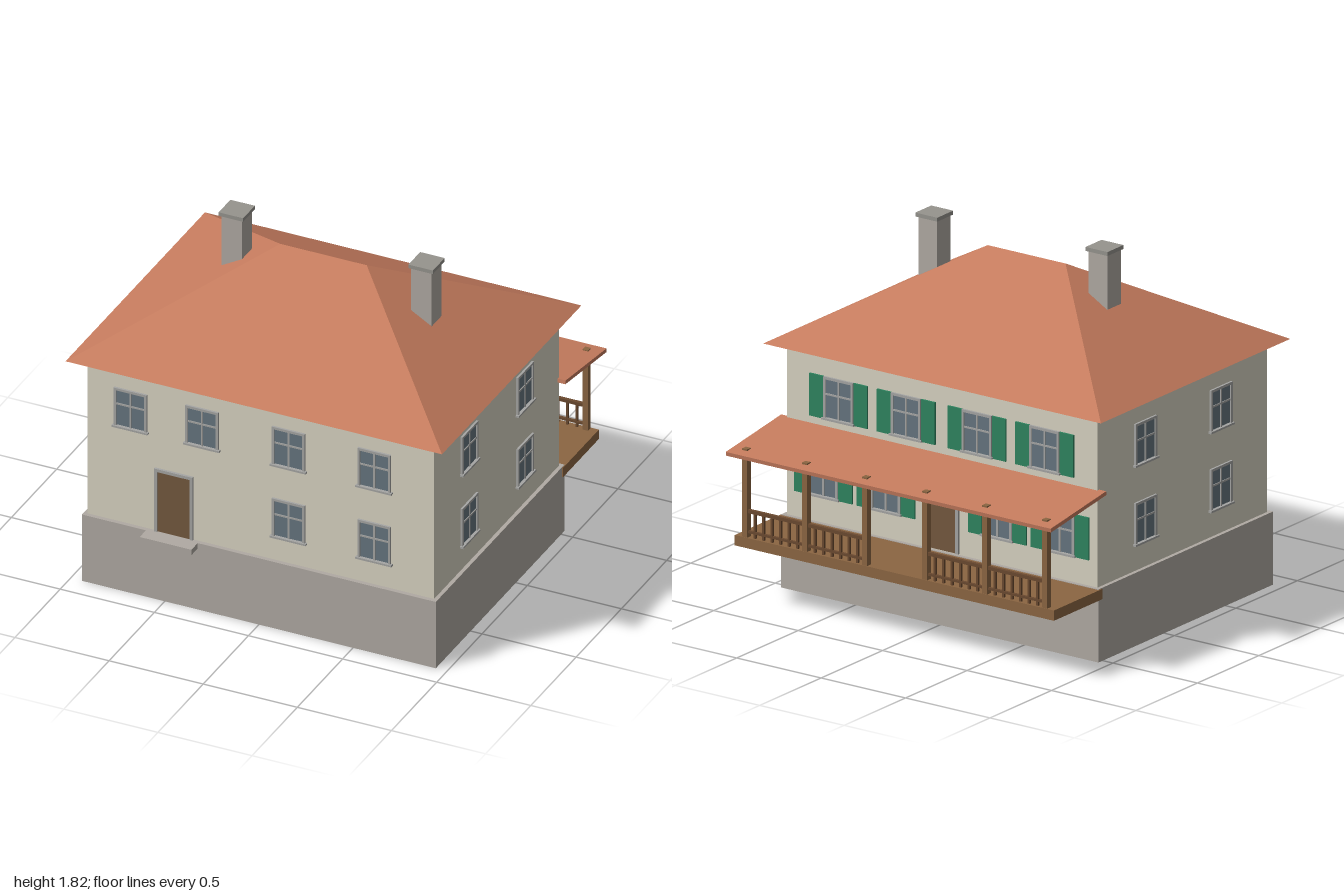
import * as THREE from 'three';

const mat = (color) => new THREE.MeshStandardMaterial({ color });

export function createModel() {
  const house = new THREE.Group();
  house.name = 'house';
  const M = {
    wall: mat(0xd8d3c2), stone: mat(0xb0aaa3), roof: mat(0xc67c5e), frame: mat(0xa6a6a4),
    glass: mat(0x66757f), door: mat(0x74593f), wood: mat(0x8c6642), darkWood: mat(0x6b4a30),
    shutter: mat(0x2f8560), cap: mat(0x96948e),
  };

  // Box given by its minimum and maximum corners
  const box = (parent, name, material, a, b) => {
    const m = new THREE.Mesh(new THREE.BoxGeometry(b[0] - a[0], b[1] - a[1], b[2] - a[2]), material);
    m.position.set((a[0] + b[0]) / 2, (a[1] + b[1]) / 2, (a[2] + b[2]) / 2);
    m.name = name;
    parent.add(m);
    return m;
  };

  // Frame of four bars around a w x h opening, standing on y0
  const frame = (g, w, h, t, d, y0 = 0) => {
    for (const s of [-1, 1]) {
      const x = s * (w - t) / 2;
      box(g, 'frameSide', M.frame, [x - t / 2, y0, 0], [x + t / 2, y0 + h, d]);
    }
    box(g, 'frameTop', M.frame, [-w / 2 + t, y0 + h - t, 0], [w / 2 - t, y0 + h, d]);
  };

  // Sash window facing +z, optionally with open shutters
  const makeWindow = (shutters) => {
    const g = new THREE.Group();
    g.name = shutters ? 'shutteredWindow' : 'window';
    const w = 0.175, h = 0.215, t = 0.013;
    box(g, 'glass', M.glass, [-w / 2 + t, 0.01, -0.005], [w / 2 - t, h - t, 0.004]);
    frame(g, w, h, t, 0.011);
    box(g, 'sill', M.frame, [-0.096, -0.002, 0], [0.096, 0.008, 0.018]);
    box(g, 'mullion', M.frame, [-0.005, 0.008, 0], [0.005, h - t, 0.008]);
    box(g, 'transom', M.frame, [-w / 2 + t, 0.123, 0], [w / 2 - t, 0.132, 0.008]);
    if (shutters) for (const s of [-1, 1]) {
      const x = s * 0.131;
      box(g, 'shutter', M.shutter, [x - 0.041, 0, 0], [x + 0.041, h, 0.009]);
    }
    return g;
  };

  const makeDoor = () => {
    const g = new THREE.Group();
    g.name = 'door';
    box(g, 'doorPanel', M.door, [-0.09, 0, -0.005], [0.09, 0.34, 0.006]);
    frame(g, 0.205, 0.355, 0.016, 0.013);
    return g;
  };

  const place = (g, x, y, z, ry = 0) => {
    g.position.set(x, y, z);
    g.rotation.y = ry;
    house.add(g);
  };

  // Foundation and walls
  box(house, 'foundation', M.stone, [-0.94, 0, -0.535], [0.94, 0.37, 0.885]);
  box(house, 'walls', M.wall, [-0.92, 0.37, -0.515], [0.92, 1.24, 0.863]);

  // Hipped roof: eave rectangle rising to a short ridge
  const e = [[-1, 1.24, 0.942], [1, 1.24, 0.942], [1, 1.24, -0.598], [-1, 1.24, -0.598]];
  const r = [[-0.23, 1.68, 0.172], [0.23, 1.68, 0.172]];
  const tris = [
    [e[0], e[1], r[1]], [e[0], r[1], r[0]], [e[2], e[3], r[0]], [e[2], r[0], r[1]],
    [e[1], e[2], r[1]], [e[3], e[0], r[0]], [e[0], e[3], e[2]], [e[0], e[2], e[1]],
  ];
  const roofGeo = new THREE.BufferGeometry();
  roofGeo.setAttribute('position', new THREE.Float32BufferAttribute(tris.flat(2), 3));
  roofGeo.computeVertexNormals();
  const roof = new THREE.Mesh(roofGeo, M.roof);
  roof.name = 'hippedRoof';
  house.add(roof);

  // Chimneys
  for (const [x, top] of [[-0.46, 1.815], [0.548, 1.785]]) {
    box(house, 'chimney', M.stone, [x - 0.055, 1.38, 0.12], [x + 0.055, top - 0.02, 0.23]);
    box(house, 'chimneyCap', M.cap, [x - 0.065, top - 0.02, 0.108], [x + 0.065, top, 0.238]);
  }

  // Front windows, door and step
  for (const x of [-0.69, -0.31, 0.15, 0.605]) place(makeWindow(false), x, 0.9, 0.863);
  for (const x of [0.15, 0.605]) place(makeWindow(false), x, 0.5, 0.863);
  place(makeDoor(), -0.46, 0.365, 0.863);
  box(house, 'doorStep', M.stone, [-0.6, 0.34, 0.85], [-0.325, 0.37, 0.954]);

  // Side windows
  for (const s of [-1, 1]) for (const y of [0.9, 0.5]) for (const z of [0.482, -0.132]) {
    place(makeWindow(false), s * 0.92, y, z, s * Math.PI / 2);
  }

  // Back windows with shutters, and back door
  for (const s of [-1, 1]) {
    for (const x of [0.21, 0.61]) place(makeWindow(true), s * x, 0.9, -0.515, Math.PI);
    for (const x of [0.33, 0.7]) place(makeWindow(true), s * x, 0.5, -0.515, Math.PI);
  }
  place(makeDoor(), 0, 0.375, -0.515, Math.PI);

  // Porch: deck, posts, sloping roof and railings
  const porch = new THREE.Group();
  porch.name = 'porch';
  house.add(porch);
  box(porch, 'deck', M.wood, [-0.945, 0.315, -0.905], [0.945, 0.367, -0.51]);
  const canopy = box(porch, 'porchRoof', M.roof, [-0.962, -0.01, -0.228], [0.962, 0.01, 0.228]);
  canopy.position.set(0, 0.8205, -0.727);
  canopy.rotation.x = -0.1425;

  const posts = [-0.888, -0.533, -0.178, 0.178, 0.533, 0.888];
  const pz = -0.887;
  posts.forEach((x, i) => {
    box(porch, 'post', M.wood, [x - 0.015, 0.36, pz - 0.015], [x + 0.015, 0.814, pz + 0.015]);
    // The middle bay stays open
    if (i === 2 || i === 5) return;
    const x2 = posts[i + 1];
    box(porch, 'topRail', M.darkWood, [x, 0.49, pz - 0.009], [x2, 0.507, pz + 0.009]);
    box(porch, 'bottomRail', M.darkWood, [x, 0.388, pz - 0.007], [x2, 0.4, pz + 0.007]);
    for (let k = 1; k <= 6; k++) {
      const bx = x + (x2 - x) * k / 7;
      box(porch, 'baluster', M.darkWood, [bx - 0.006, 0.367, pz - 0.006], [bx + 0.006, 0.49, pz + 0.006]);
    }
  });

  return house;
}
